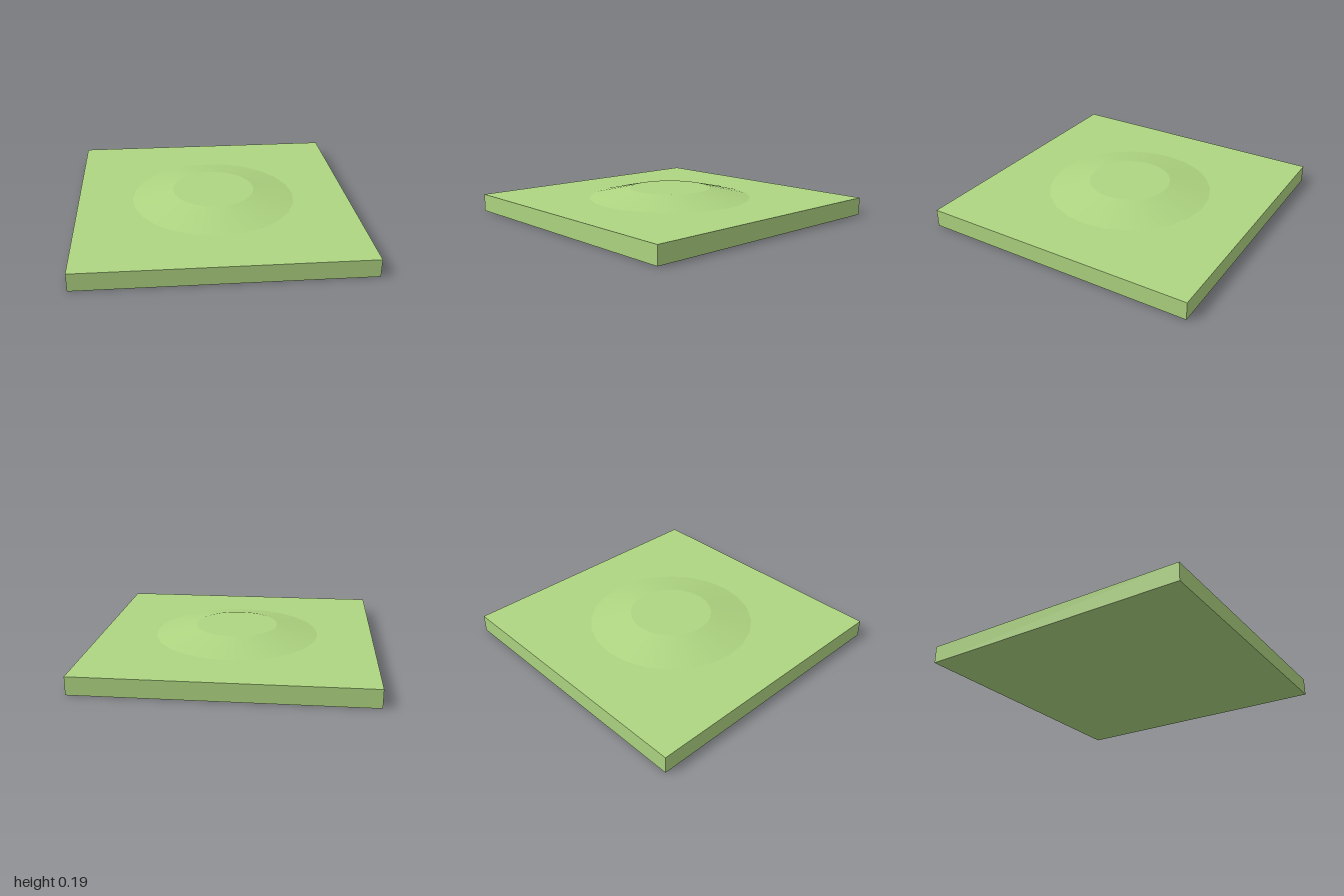
import * as THREE from 'three';

export function createModel() {
  const group = new THREE.Group();
  const green = new THREE.MeshStandardMaterial({ color: 0xaed581 });
  const slabHeight = 0.127;
  const moundHeight = 0.067;

  // Square ground slab
  const slab = new THREE.Mesh(new THREE.BoxGeometry(2, slabHeight, 2), green);
  slab.name = 'groundSlab';
  slab.position.y = slabHeight / 2;
  group.add(slab);

  // Low flat-topped mound with 24 sides
  const mound = new THREE.Mesh(new THREE.CylinderGeometry(0.3, 0.6, moundHeight, 24), green);
  mound.name = 'mound';
  mound.position.y = slabHeight + moundHeight / 2;
  group.add(mound);

  return group;
}
